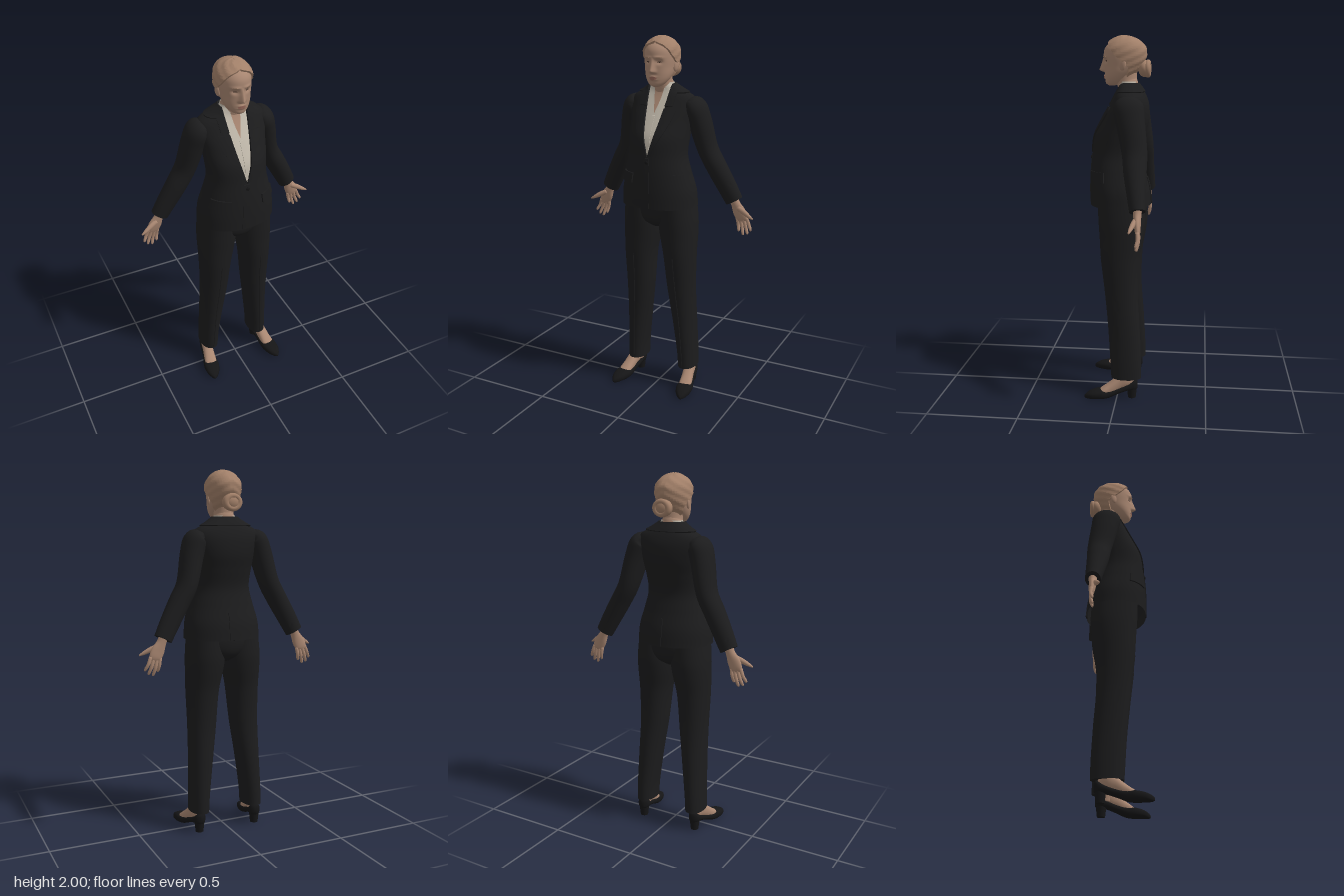
import * as THREE from 'three';
import { mergeVertices, toCreasedNormals } from 'three/addons/utils/BufferGeometryUtils.js';

const PI2 = Math.PI * 2;
const V = (x, y, z) => new THREE.Vector3(x, y, z);
const clamp = (v, a = 0, b = 1) => Math.min(b, Math.max(a, v));
const gauss = (a, s) => Math.exp(-(a * a) / (s * s));

// Smooth interpolation of rows [position, value, value, ...]
function curve(keys) {
  const n = keys.length;
  const slope = (i, c) => {
    const a = keys[Math.max(0, i - 1)], b = keys[Math.min(n - 1, i + 1)];
    return (b[c] - a[c]) / (b[0] - a[0]);
  };
  return (y) => {
    y = clamp(y, keys[0][0], keys[n - 1][0]);
    let i = 0;
    while (i < n - 2 && y > keys[i + 1][0]) i++;
    const h = keys[i + 1][0] - keys[i][0], t = (y - keys[i][0]) / h, t2 = t * t, t3 = t2 * t;
    return keys[i].slice(1).map((k, j) => k * (2 * t3 - 3 * t2 + 1) + keys[i + 1][j + 1] * (3 * t2 - 2 * t3)
      + h * (slope(i, j + 1) * (t3 - 2 * t2 + t) + slope(i + 1, j + 1) * (t3 - t2)));
  };
}

// Surface through stacked rounded sections [y, centreX, halfWidth, frontZ, backZ]; angle 0 faces the front
function surface(keys, p = 1, bump = null) {
  const c = curve(keys), pow = (v) => Math.sign(v) * Math.abs(v) ** p;
  const at = (a, y) => {
    const [cx, rx, zf, zb] = c(y);
    const v = V(cx + rx * pow(Math.sin(a)), y, (zf + zb) / 2 + (zf - zb) / 2 * pow(Math.cos(a)));
    return bump ? bump(v) : v;
  };
  at.angle = (y, w) => Math.asin(clamp(w / c(y)[1]) ** (1 / p));
  at.lo = keys[0][0];
  at.hi = keys[keys.length - 1][0];
  return at;
}

function grid(nu, nv, fn, crease = 0) {
  const pos = [], idx = [];
  for (let j = 0; j <= nv; j++) for (let i = 0; i <= nu; i++) pos.push(...fn(i, j).toArray());
  for (let j = 0; j < nv; j++) for (let i = 0; i < nu; i++) {
    const a = j * (nu + 1) + i, b = a + nu + 1;
    idx.push(a, a + 1, b, a + 1, b + 1, b);
  }
  let g = new THREE.BufferGeometry();
  g.setAttribute('position', new THREE.Float32BufferAttribute(pos, 3));
  g.setIndex(idx);
  g = mergeVertices(g, 1e-5);
  g.computeVertexNormals();
  return crease ? toCreasedNormals(g, crease) : g;
}

// Closed body over a whole surface
function solid(S, nu = 32, nv = 40, crease = 0) {
  return grid(nu, nv + 2, (i, j) => {
    const y = S.lo + (S.hi - S.lo) * clamp((j - 1) / nv), a = (i % nu) / nu * PI2;
    return j === 0 || j === nv + 2 ? S(0, y).lerp(S(Math.PI, y), 0.5) : S(a, y);
  }, crease);
}

// Plate lying on a surface between two angles, its open edges tucked in
function patch(S, y0, y1, a0, a1, d = 0.006, nu = 12, nv = 16) {
  const val = (f, ...k) => (typeof f === 'function' ? f(...k) : f);
  return grid(nu, nv, (i, j) => {
    const v = j === 0 ? 0 : j === nv ? 1 : clamp((j - 1) / (nv - 2), 0.01, 0.99);
    const u = i === 0 ? 0 : i === nu ? 1 : clamp((i - 1) / (nu - 2), 0.01, 0.99);
    const y = y0 + (y1 - y0) * v, s = val(a0, y), e = val(a1, y), a = s + (e - s) * u;
    const open = e - s < PI2 - 0.01, edge = open && (i === 0 || i === nu || j === 0 || j === nv);
    const h = 0.002, du = S(a + h, y).sub(S(a - h, y));
    const dv = S(a, Math.min(y + h, S.hi)).sub(S(a, Math.max(y - h, S.lo)));
    const n = du.cross(dv).normalize();
    return S(a, y).addScaledVector(n, edge ? -0.004 : val(d, a, y));
  }, 0.9);
}

// Tube through points [x, y, z, sideRadius, frontRadius], closed at both ends
function limb(pts, nu = 20, nv = 24, crease = 0) {
  const c = curve(pts.map((p, i) => [i / (pts.length - 1), ...p]));
  return grid(nu, nv + 2, (i, j) => {
    const t = clamp((j - 1) / nv), [x, y, z, ra, rb] = c(t);
    const T = V(...c(t + 0.01)).sub(V(...c(t - 0.01))).normalize();
    const side = T.clone().cross(V(0, 0, 1)).normalize(), N = T.clone().cross(side);
    const a = (i % nu) / nu * PI2, k = j === 0 || j === nv + 2 ? 0 : 1;
    return V(x, y, z).addScaledVector(side, k * ra * Math.cos(a)).addScaledVector(N, k * rb * Math.sin(a));
  }, crease);
}

function mirrored(geo) {
  const g = (geo.index ? geo.toNonIndexed() : geo.clone()).scale(-1, 1, 1);
  for (const at of Object.values(g.attributes)) for (let i = 0; i < at.count; i += 3)
    for (let k = 0; k < at.itemSize; k++) {
      const t = at.getComponent(i + 1, k);
      at.setComponent(i + 1, k, at.getComponent(i + 2, k));
      at.setComponent(i + 2, k, t);
    }
  // the mirrored scale already flips x of the normals
  return g;
}

export function createModel() {
  const model = new THREE.Group();
  model.name = 'womanInSuit';
  const mat = (name, color) => Object.assign(new THREE.MeshStandardMaterial({ color }), { name });
  const skin = mat('skin', 0xa88671), hair = mat('hair', 0xa28069), suit = mat('suit', 0x1c1c1d);
  const shirt = mat('shirt', 0xc0b8aa), leather = mat('shoeLeather', 0x151516);
  const lip = mat('lips', 0x96685a), dark = mat('eyes', 0x4a382f);
  suit.side = shirt.side = THREE.DoubleSide;
  const add = (name, geo, m) => {
    const mesh = new THREE.Mesh(geo, m);
    mesh.name = name;
    model.add(mesh);
  };
  const pair = (name, geo, m) => {
    add(name + 'Left', geo, m);
    add(name + 'Right', mirrored(geo), m);
  };
  const ball = (x, y, z, rx, ry, rz) => new THREE.SphereGeometry(1, 24, 16).scale(rx, ry, rz).translate(x, y, z);

  // Jacket, shirt and chest share one torso surface
  const torso = surface([
    [1.09, 0, 0.215, 0.163, -0.175], [1.18, 0, 0.208, 0.164, -0.165], [1.28, 0, 0.183, 0.16, -0.138],
    [1.37, 0, 0.163, 0.151, -0.122], [1.47, 0, 0.168, 0.138, -0.14], [1.55, 0, 0.177, 0.1, -0.158],
    [1.63, 0, 0.19, 0.055, -0.157], [1.68, 0, 0.178, 0.028, -0.142], [1.715, 0, 0.115, 0.014, -0.122],
    [1.745, 0, 0.07, 0.012, -0.1], [1.76, 0, 0.063, 0.008, -0.096]], 0.92);
  const vee = curve([[1.37, 0], [1.5, 0.033], [1.65, 0.056], [1.745, 0.064]]);
  const neckline = curve([[1.6, 0], [1.66, 0.016], [1.755, 0.034]]);
  const open = (y) => torso.angle(y, vee(y)[0]), openIn = (y) => torso.angle(y, neckline(y)[0]);
  const round = (f) => (y) => PI2 - f(y);
  add('jacketBody', patch(torso, 1.09, 1.745, open, round(open), 0, 96, 60), suit);
  add('shirt', patch(torso, 1.33, 1.758, openIn, round(openIn), -0.005, 96, 40), shirt);
  add('chest', patch(torso, 1.5, 1.74, 0, PI2, -0.009, 64, 24), skin);
  add('shirtPlacket', patch(torso, 1.39, 1.59, -0.035, 0.035, -0.001, 6, 16), shirt);

  // Lapels, collar, pocket flaps, front edge, back seam and button
  const lapel = curve([[1.37, 0.004], [1.5, 0.045], [1.6, 0.066], [1.625, 0.06]]);
  pair('lapel', patch(torso, 1.37, 1.625, open, (y) => torso.angle(y, vee(y)[0] + lapel(y)[0]), 0.007, 10, 30), suit);
  pair('collarFront', patch(torso, 1.633, 1.715, open, (y) => torso.angle(y, vee(y)[0] + 0.042), 0.007, 10, 14), suit);
  add('collarBack', patch(torso, 1.7, 1.748, open, round(open), 0.007, 60, 10), suit);
  pair('pocketFlap', patch(torso, 1.225, 1.28, 0.45, 1.2, 0.007), suit);
  add('frontEdge', patch(torso, 1.092, 1.37, -0.12, 0.06, 0.004), suit);
  add('backVent', patch(torso, 1.092, 1.24, Math.PI - 0.1, Math.PI + 0.02, 0.005), suit);
  add('jacketButton', ball(0, 1.345, 0.16, 0.01, 0.01, 0.005), leather);

  // Sleeves
  pair('sleeve', limb([
    [0.145, 1.655, -0.06, 0.03, 0.055], [0.178, 1.628, -0.062, 0.06, 0.08], [0.205, 1.55, -0.075, 0.062, 0.076],
    [0.243, 1.4, -0.1, 0.056, 0.067], [0.295, 1.3, -0.108, 0.056, 0.06], [0.35, 1.2, -0.12, 0.054, 0.05],
    [0.393, 1.118, -0.13, 0.05, 0.042]], 28, 36, 0.9), suit);

  // Hands with palms forward
  pair('palm', limb([
    [0.385, 1.14, -0.13, 0.026, 0.024], [0.402, 1.1, -0.13, 0.026, 0.021], [0.422, 1.06, -0.132, 0.036, 0.018],
    [0.438, 1.025, -0.135, 0.035, 0.014], [0.443, 1.005, -0.135, 0.027, 0.008]]), skin);
  [[0.412, 1.02, 0.424, 0.945], [0.43, 1.015, 0.45, 0.926], [0.448, 1.018, 0.474, 0.934], [0.464, 1.028, 0.493, 0.955]]
    .forEach(([x, y, tx, ty], i) => pair('finger' + (i + 1), limb([
      [x, y, -0.135, 0.01, 0.01], [(x + tx) / 2, (y + ty) / 2, -0.138, 0.0095, 0.0095],
      [tx, ty + 0.008, -0.13, 0.0075, 0.0075], [tx + 0.001, ty, -0.128, 0.003, 0.003]], 10, 12), skin));
  pair('thumb', limb([
    [0.42, 1.08, -0.122, 0.014, 0.014], [0.455, 1.064, -0.112, 0.015, 0.013],
    [0.49, 1.046, -0.102, 0.0105, 0.01], [0.515, 1.033, -0.096, 0.004, 0.004]], 12, 14), skin);

  // Trousers
  add('trouserSeat', solid(surface([
    [0.965, 0, 0.03, 0.05, -0.08], [1.0, 0, 0.13, 0.095, -0.13], [1.06, 0, 0.195, 0.112, -0.15],
    [1.14, 0, 0.195, 0.115, -0.145], [1.22, 0, 0.17, 0.11, -0.12]]), 40, 24), suit);
  pair('trouserLeg', solid(surface([
    [0.115, 0.163, 0.053, 0.033, -0.135], [0.2, 0.16, 0.055, 0.037, -0.135], [0.4, 0.145, 0.065, 0.05, -0.125],
    [0.6, 0.13, 0.078, 0.07, -0.112], [0.8, 0.122, 0.09, 0.094, -0.118], [0.92, 0.112, 0.103, 0.102, -0.138],
    [1.0, 0.107, 0.107, 0.108, -0.147], [1.15, 0.1, 0.1, 0.115, -0.14]], 0.94), 36, 48, 0.9), suit);
  pair('trouserCrease', limb([[0.16, 0.12, 0.031, 0.003, 0.004], [0.145, 0.4, 0.049, 0.003, 0.004],
    [0.13, 0.6, 0.069, 0.003, 0.004], [0.122, 0.8, 0.093, 0.003, 0.004]], 6, 20), suit);

  // Feet and shoes are lofted heel to toe as [z, bottom, top, halfWidth], then turned outwards
  const place = (g) => g.rotateY(0.17).translate(0.187, 0, 0);
  const foot = (rows, p) => place(solid(surface(
    rows.map(([z, b, t, w]) => [z, 0, w, -b, -t]), p), 28, 36).rotateX(Math.PI / 2));
  pair('shoe', foot([
    [-0.118, 0.055, 0.1, 0.012], [-0.105, 0.045, 0.114, 0.029], [-0.06, 0.045, 0.086, 0.036], [0, 0.025, 0.064, 0.036],
    [0.05, 0.005, 0.055, 0.042], [0.09, 0, 0.056, 0.046], [0.14, 0, 0.045, 0.036], [0.17, 0, 0.03, 0.018],
    [0.182, 0.005, 0.018, 0.004]], 0.8), leather);
  pair('shoeHeel', place(new THREE.CylinderGeometry(0.03, 0.022, 0.07, 20).translate(0, 0.035, -0.086)), leather);
  pair('foot', foot([
    [-0.095, 0.07, 0.125, 0.02], [-0.05, 0.06, 0.16, 0.031], [-0.01, 0.045, 0.132, 0.031], [0.04, 0.02, 0.092, 0.034],
    [0.075, 0.02, 0.067, 0.035], [0.1, 0.02, 0.05, 0.028]], 0.9), skin);
  pair('ankle', limb([[0.172, 0.08, -0.06, 0.028, 0.034], [0.168, 0.2, -0.055, 0.03, 0.036]]), skin);

  // Head with a face shaped by soft bumps and hollows
  const face = (v) => {
    if (v.z < 0.01) return v;
    const { x, y } = v, ax = Math.abs(x), t = clamp((1.888 - y) / 0.066);
    v.z += 0.029 * t * THREE.MathUtils.smoothstep(y, 1.802, 1.818) * gauss(x, 0.008 + 0.007 * t);
    v.z -= 0.011 * gauss(ax - 0.033, 0.017) * gauss(y - 1.867, 0.013);
    v.z += 0.005 * gauss(ax - 0.03, 0.025) * gauss(y - 1.889, 0.008);
    v.z += 0.006 * gauss(x, 0.02) * (gauss(y - 1.789, 0.006) + gauss(y - 1.776, 0.006));
    return v;
  };
  const head = surface([
    [1.735, 0, 0.012, 0.06, 0.03], [1.745, 0, 0.035, 0.076, 0], [1.77, 0, 0.058, 0.081, -0.035],
    [1.8, 0, 0.072, 0.083, -0.07], [1.84, 0, 0.08, 0.085, -0.108], [1.88, 0, 0.085, 0.089, -0.13],
    [1.92, 0, 0.084, 0.087, -0.134], [1.945, 0, 0.075, 0.074, -0.122], [1.965, 0, 0.059, 0.05, -0.1],
    [1.98, 0, 0.038, 0.024, -0.068], [1.987, 0, 0.02, 0.003, -0.045], [1.99, 0, 0.002, -0.018, -0.022]], 0.96, face);
  add('head', solid(head, 128, 90), skin);
  add('neck', limb([[0, 1.66, -0.052, 0.062, 0.05], [0, 1.735, -0.042, 0.06, 0.056], [0, 1.765, -0.034, 0.053, 0.056],
    [0, 1.82, -0.03, 0.055, 0.06]], 32, 20), skin);
  pair('ear', ball(0, 0, 0, 0.009, 0.031, 0.018).rotateX(-0.2).rotateY(-0.35).translate(0.085, 1.845, -0.022), skin);
  const oval = (c, y0, w, h, s) => (y) => c + s * w * Math.sqrt(clamp(1 - ((y - y0) / h) ** 2, 0.01));
  const spot = (c, y, w, h) => patch(head, y - h, y + h, oval(c, y, w, h, -1), oval(c, y, w, h, 1), 0.0015, 10, 10);
  pair('eye', spot(0.39, 1.866, 0.13, 0.0035), dark);
  pair('brow', spot(0.4, 1.888, 0.2, 0.003), hair);
  add('lips', spot(0, 1.782, 0.32, 0.009), lip);

  // Hair swept back into a low bun
  const line = curve([[1.775, 2.5], [1.8, 2.2], [1.835, 1.95], [1.865, 1.5], [1.9, 1.12], [1.93, 0.85], [1.95, 0.5], [1.962, 0]]);
  const hairline = (y) => Math.max(0, line(y)[0]);
  add('hair', patch(head, 1.775, 1.99, hairline, round(hairline),
    (a, y) => 0.01 + 0.0014 * Math.sin(Math.abs(a - Math.PI) * 7 + y * 150), 96, 60), hair);
  add('bun', ball(0, 1.825, -0.132, 0.052, 0.045, 0.036), hair);
  add('bunCoil', new THREE.TorusGeometry(0.033, 0.015, 12, 32).scale(1.15, 1, 1).translate(0, 1.825, -0.15), hair);
  return model;
}
